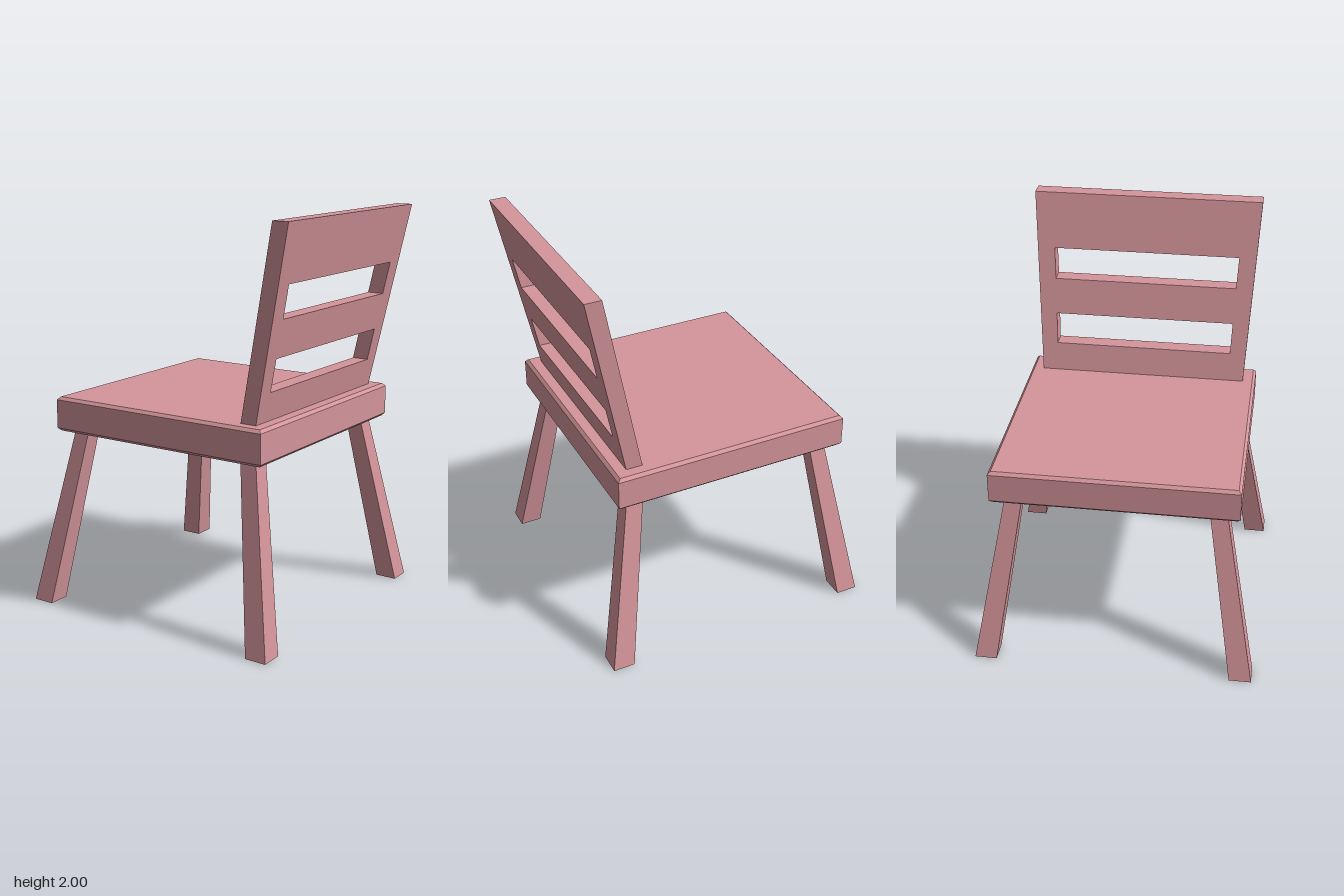
import * as THREE from 'three';

const wood = new THREE.MeshStandardMaterial({ color: 0xd4959b });
wood.name = 'pinkWood';

function part(name, geometry) {
  const mesh = new THREE.Mesh(geometry, wood);
  mesh.name = name;
  return mesh;
}

// Closed outline from [x, y] corners
const points = (corners) => corners.map(([x, y]) => new THREE.Vector2(x, y));

// Slanted, tapering bar between a bottom and a top rectangle [x0, x1, z0, z1]
function taperedBar(bottom, top, y0, y1) {
  const geo = new THREE.BoxGeometry(1, 1, 1).toNonIndexed();
  const p = geo.attributes.position;
  for (let i = 0; i < p.count; i++) {
    const up = p.getY(i) > 0;
    const r = up ? top : bottom;
    p.setXYZ(i, r[p.getX(i) > 0 ? 1 : 0], up ? y1 : y0, r[p.getZ(i) > 0 ? 3 : 2]);
  }
  geo.computeVertexNormals();
  return geo;
}

// Square slab with chamfered edges
function seatGeometry() {
  const h = 0.59;
  const shape = new THREE.Shape(points([[-h, -h], [h, -h], [h, h], [-h, h]]));
  const geo = new THREE.ExtrudeGeometry(shape, {
    depth: 0.145, bevelThickness: 0.015, bevelSize: 0.015, bevelSegments: 1,
  });
  return geo.rotateX(-Math.PI / 2).translate(-0.015, 0.905, 0);
}

// Widening panel with two slots, leaned back by shearing along x
function backrestGeometry() {
  const y0 = 1.06, y1 = 2;
  const shape = new THREE.Shape(points([[-0.54, y0], [0.54, y0], [0.59, y1], [-0.59, y1]]));
  for (const [a, b, wa, wb] of [[1.21, 1.37, 0.464, 0.47], [1.555, 1.715, 0.477, 0.485]]) {
    shape.holes.push(new THREE.Path(points([[-wa, a], [-wb, b], [wb, b], [wa, a]])));
  }
  const geo = new THREE.ExtrudeGeometry(shape, { depth: 0.083, bevelEnabled: false });
  geo.rotateY(Math.PI / 2);
  const p = geo.attributes.position;
  for (let i = 0; i < p.count; i++) {
    p.setX(i, p.getX(i) + 0.438 + 0.194 * (p.getY(i) - y0) / (y1 - y0));
  }
  geo.computeVertexNormals();
  return geo;
}

export function createModel() {
  const chair = new THREE.Group();
  chair.name = 'chair';
  chair.add(part('seat', seatGeometry()), part('backrest', backrestGeometry()));

  // Splayed legs, one at each corner
  const legs = [
    ['Front', [-0.72, -0.61], [-0.555, -0.472]],
    ['Rear', [0.575, 0.685], [0.438, 0.523]],
  ];
  for (const [end, foot, head] of legs) {
    chair.add(
      part('leg' + end + 'A', taperedBar([...foot, 0.592, 0.703], [...head, 0.455, 0.54], 0, 0.895)),
      part('leg' + end + 'B', taperedBar([...foot, -0.703, -0.592], [...head, -0.54, -0.455], 0, 0.895)),
    );
  }
  return chair;
}
